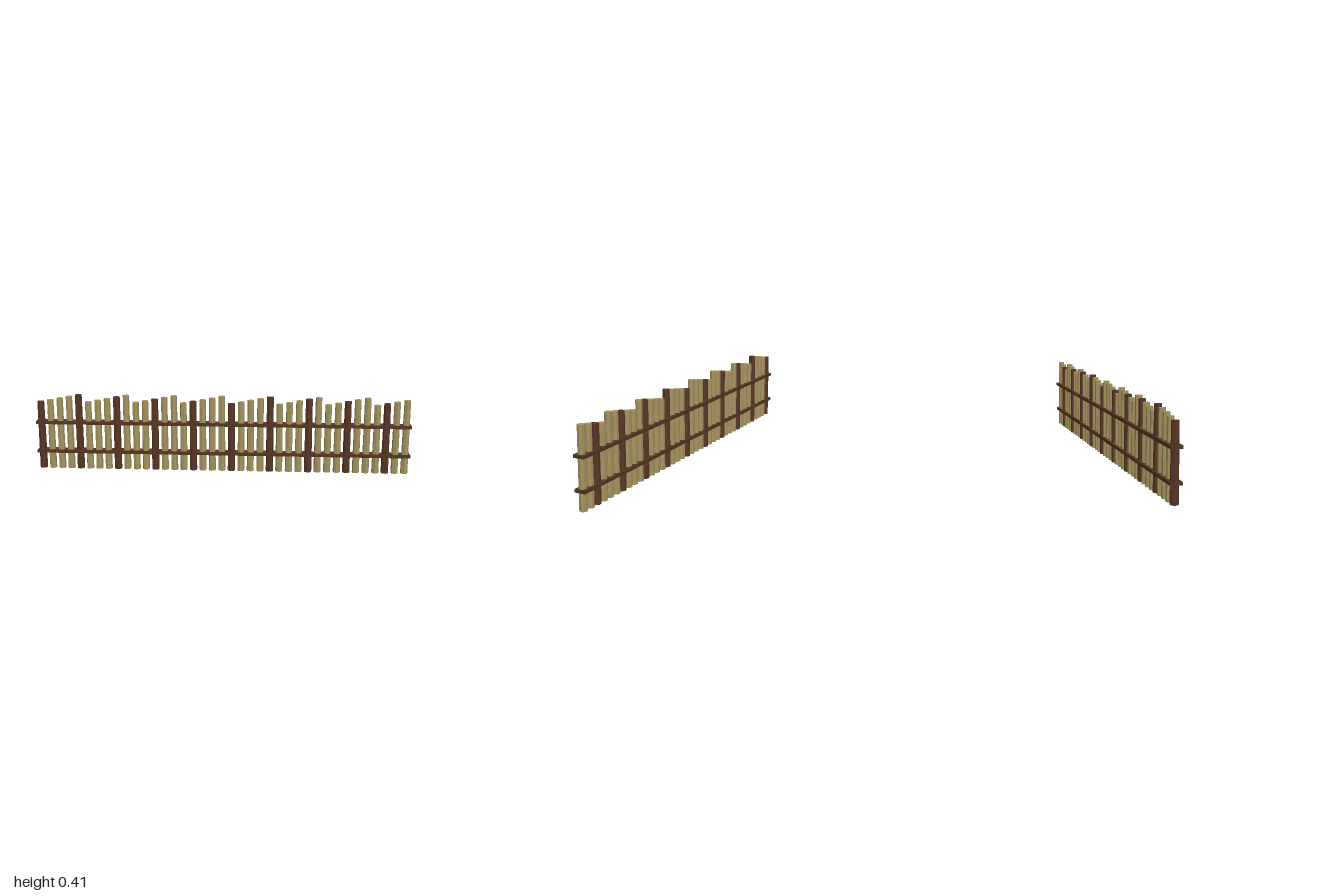
import * as THREE from 'three';

export function createModel() {
  const group = new THREE.Group();
  group.name = 'palisadeFence';

  const material = (name, color) => {
    const m = new THREE.MeshStandardMaterial({ color, flatShading: true });
    m.name = name;
    return m;
  };
  const paleWood = material('paleWood', 0xa5935e);
  const darkWood = material('darkWood', 0x573524);
  const railWood = material('railWood', 0x523420);

  // Stakes: every fourth is dark and stout, tops step up in runs of five
  const count = 39;
  const spacing = 1.95 / (count - 1);
  for (let i = 0; i < count; i++) {
    const dark = i % 4 === 0;
    const height = 0.369 + (i % 5) * 0.0095;
    const geometry = new THREE.CylinderGeometry(dark ? 0.0185 : 0.0175, dark ? 0.0205 : 0.0195, height, 7);
    geometry.translate(0, height / 2, 0);
    const stake = new THREE.Mesh(geometry, dark ? darkWood : paleWood);
    stake.name = dark ? 'darkStake' : 'paleStake';
    stake.position.x = -0.975 + i * spacing;
    // Slight uneven turn of each stake
    stake.rotation.y = ((i * 5) % 7 - 3) * 0.05;
    group.add(stake);
  }

  // Two flat rails that the stakes pass through
  for (const [name, y] of [['lowerRail', 0.097], ['upperRail', 0.256]]) {
    const rail = new THREE.Mesh(new THREE.BoxGeometry(2, 0.0155, 0.056), railWood);
    rail.name = name;
    rail.position.y = y;
    group.add(rail);
  }

  return group;
}
